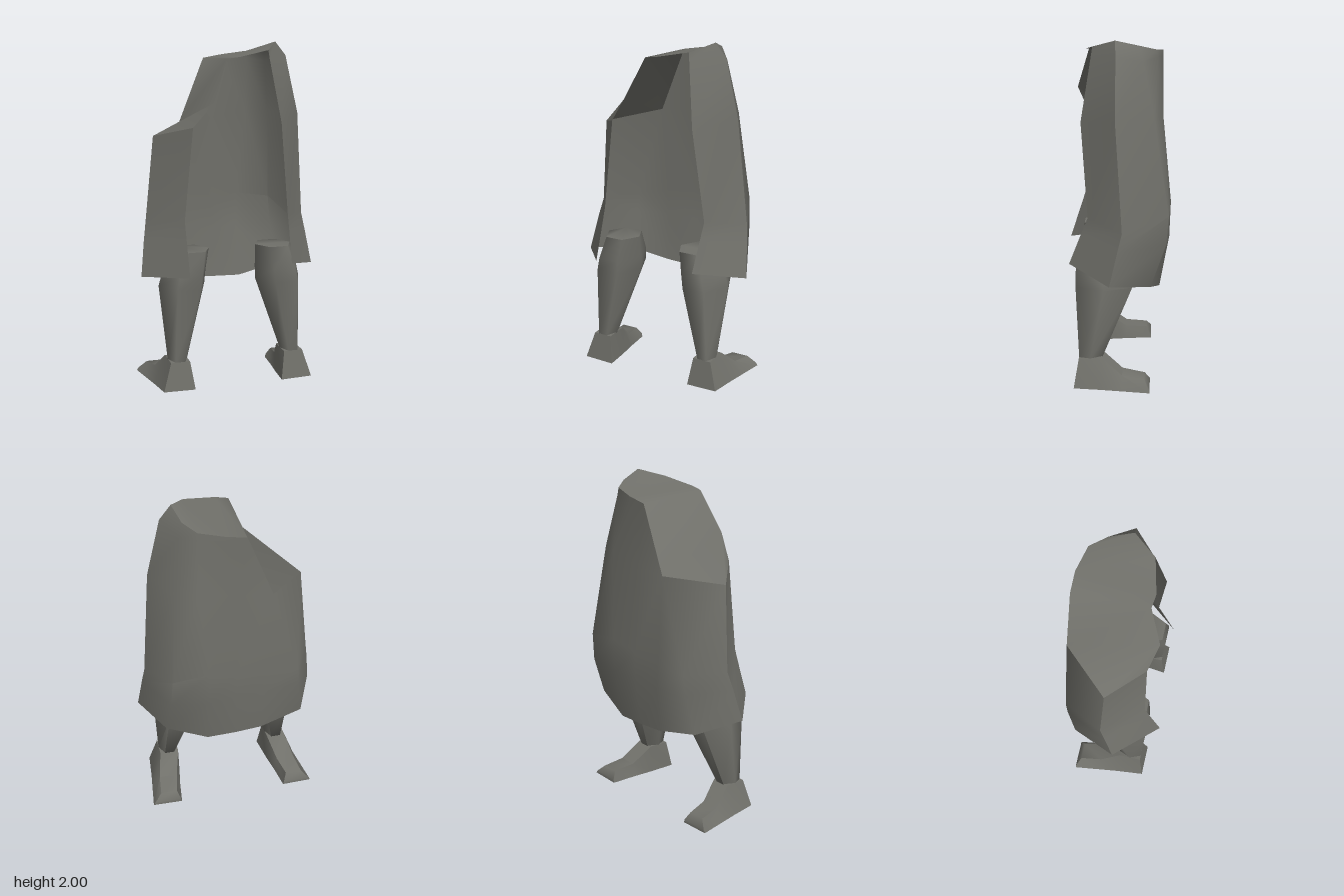
import * as THREE from 'three';
import { toCreasedNormals } from 'three/addons/utils/BufferGeometryUtils.js';

const cloth = new THREE.MeshStandardMaterial({ color: 0x70706a, side: THREE.DoubleSide });
cloth.name = 'dark grey cloth';

// Skin rows of points; closed rows make a tube with end caps. Null points leave gaps.
function loft(rows, closed, crease) {
  const out = [];
  const same = (a, b) => a.every((v, i) => Math.abs(v - b[i]) < 1e-6);
  const tri = (a, b, c) => {
    if (same(a, b) || same(b, c) || same(a, c)) return;
    out.push(...a, ...b, ...c);
  };
  const n = rows[0].length;
  for (let i = 0; i + 1 < rows.length; i++) {
    for (let j = 0; j < (closed ? n : n - 1); j++) {
      const k = (j + 1) % n, p = rows[i], q = rows[i + 1];
      if (!p[j] || !p[k] || !q[j] || !q[k]) continue;
      tri(p[j], q[j], p[k]);
      tri(p[k], q[j], q[k]);
    }
  }
  if (closed) {
    const a = rows[0], b = rows[rows.length - 1];
    for (let j = 1; j + 1 < n; j++) {
      tri(a[0], a[j], a[j + 1]);
      tri(b[0], b[j + 1], b[j]);
    }
  }
  const g = new THREE.BufferGeometry();
  g.setAttribute('position', new THREE.Float32BufferAttribute(out, 3));
  return toCreasedNormals(g, crease);
}

function add(group, name, geometry) {
  const mesh = new THREE.Mesh(geometry, cloth);
  mesh.name = name;
  group.add(mesh);
}

// Cloak rows from hem to top, each running from the right front edge round the back
const hem = [[-.32, .69, .31], [-.54, .66, .06], [-.42, .61, -.2], [-.16, .56, -.245],
  [0, .55, -.25], [.17, .545, -.25], [.41, .62, -.2], [.54, .66, .03], [.315, .72, .27]];
const hip = [[-.32, .89, .245], [-.51, .86, .01], [-.385, .85, -.245], [-.17, .85, -.27],
  [0, .85, -.287], [.17, .85, -.305], [.39, .86, -.285], [.515, .855, -.015], [.325, .9, .2]];
const waist = [[-.32, 1, .21], [-.49, .97, -.02], [-.375, .97, -.253], [-.18, 1, -.268],
  [0, 1.02, -.29], [.17, 1.06, -.312], [.38, 1.03, -.3], [.5, .96, -.04], [.33, 1, .16]];
const chest = [[-.265, 1.53, .2], [-.445, 1.47, 0], [-.21, 1.52, -.26], [-.21, 1.52, -.26],
  [0, 1.54, -.262], [.215, 1.58, -.262], [.34, 1.57, -.215], [.45, 1.58, 0], [.27, 1.54, .2]];
const shoulder = [null, null, null, [-.068, 1.875, -.26],
  [.06, 1.89, -.26], [.205, 1.9, -.23], [.295, 1.88, -.15], [.37, 1.92, 0], [.215, 1.91, .142]];
const top = [null, null, null, [-.057, 1.9, -.26],
  [.06, 1.92, -.26], [.205, 1.94, -.222], [.27, 1.96, -.13], [.303, 2, .005], [.21, 1.955, .135]];
const rows = [hem, hip, waist, chest, shoulder, top];

function makeCloak() {
  const cloak = new THREE.Group();
  cloak.name = 'cloak';
  const part = (from, to, list) => loft(list.map(r => r.slice(from, to)), false, 1.1);
  add(cloak, 'cloakRightPanel', part(0, 2, rows.slice(0, 4)));
  add(cloak, 'cloakBack', part(1, 8, rows));
  add(cloak, 'cloakLeftPanel', part(7, 9, rows));
  // Sloping top, spanned from the front edge to the back edge
  const front = [chest[0], [-.155, 1.67, .245], [-.055, 1.91, .17], [.02, 1.92, .18], top[8], top[7]];
  const back = [chest[1], chest[3], top[3], top[4], top[5], top[6]];
  add(cloak, 'cloakTop', loft([front, back], false, 1.1));
  return cloak;
}

// Six-sided leg: rings of [y, inner x, outer x, back z, front z]
const legRings = [[.165, .295, .41, .08, .212], [.6, .16, .44, -.095, .23], [.68, .155, .42, -.08, .23],
  [.815, .145, .365, 0, .215]];

// Foot sections of [bottom z, inner x, outer x, top z, top y, inner x, outer x]
const footSections = [[.24, .27, .46, .213, .17, .295, .41], [.08, .29, .475, .08, .18, .295, .41],
  [-.04, .31, .49, -.04, .085, .33, .44], [-.2, .33, .51, -.17, .07, .355, .455],
  [-.2, .33, .51, -.2, .025, .335, .5]];

function makeLeg(side) {
  const leg = new THREE.Group();
  leg.name = side > 0 ? 'leftLeg' : 'rightLeg';
  const mirror = ring => {
    const r = ring.map(([x, y, z]) => [x * side, y, z]);
    return side > 0 ? r : r.reverse();
  };
  const rings = legRings.map(([y, xi, xo, zb, zf]) => {
    const ring = [];
    for (let j = 0; j < 6; j++) {
      const a = (j * Math.PI) / 3;
      ring.push([(xi + xo) / 2 + Math.cos(a) * (xo - xi) / 2, y,
        (zb + zf) / 2 + Math.sin(a) / 0.866 * (zf - zb) / 2]);
    }
    return mirror(ring);
  });
  add(leg, 'shin', loft(rings, true, 1.2));
  const sections = footSections.map(([zb, xi, xo, zt, yt, ti, to]) =>
    mirror([[xo, 0.008, zb], [to, yt, zt], [ti, yt, zt], [xi, 0.004, zb]]));
  add(leg, 'foot', loft(sections, true, 0.9));
  return leg;
}

export function createModel() {
  const model = new THREE.Group();
  model.name = 'cloakedLegs';
  model.add(makeCloak(), makeLeg(1), makeLeg(-1));
  return model;
}
